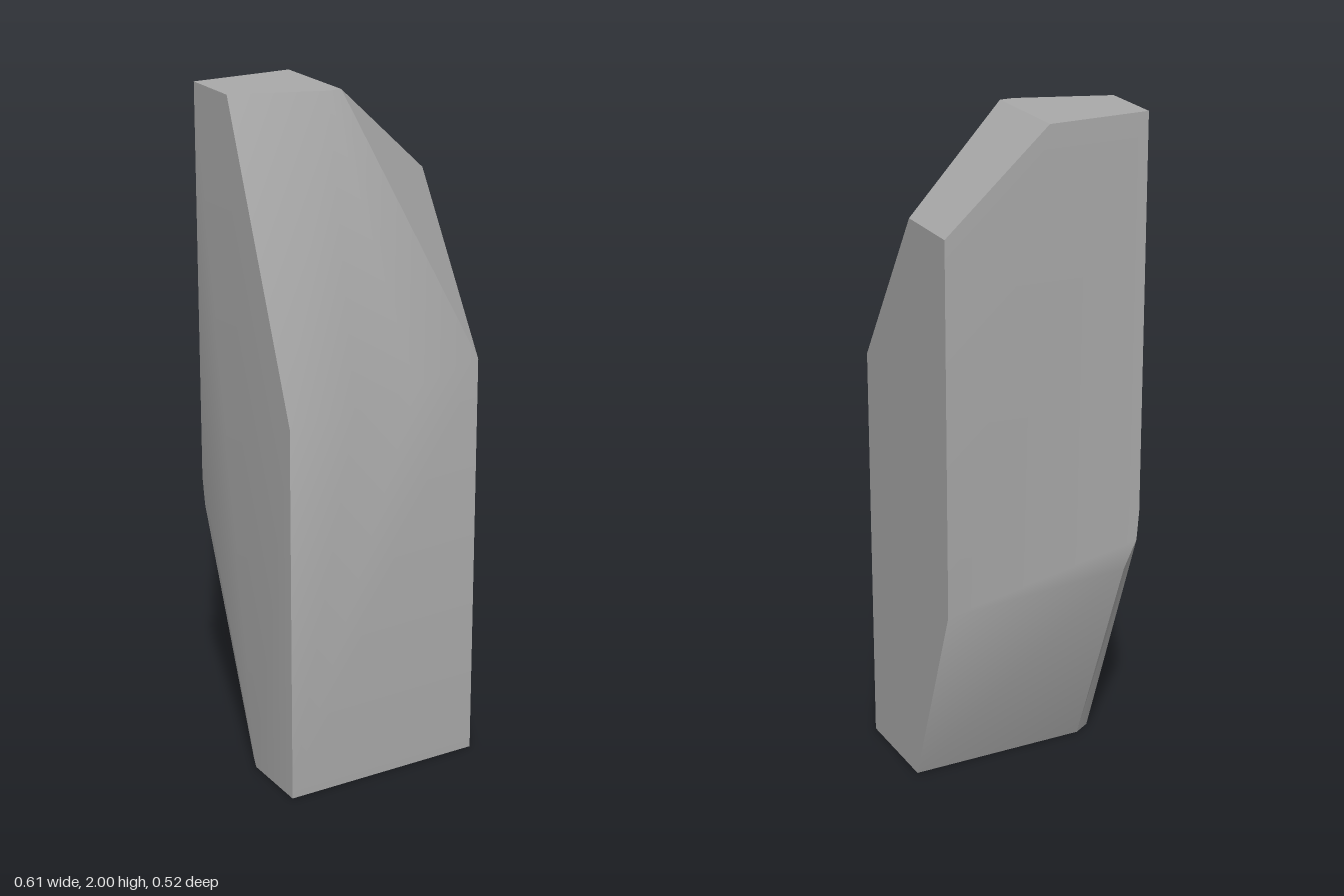
import * as THREE from 'three';
import { toCreasedNormals } from 'three/addons/utils/BufferGeometryUtils.js';

export function createModel() {
  const stone = new THREE.MeshStandardMaterial({ color: 0xaaaaaa });
  stone.name = 'stone grey';

  const W = 0.307, D = 0.262; // half width and half depth
  const p = {
    // base
    frontL: [-W, 0, D], frontR: [W, 0, D], baseR: [W, 0, -0.04],
    b0: [-W, 0, 0.045], b1: [-0.285, 0, -0.01], b2: [-0.235, 0, -0.04],
    // bend across the front
    c0: [-W, 1.14, D], c1: [-0.1, 1.15, D], c2: [0.1, 1.19, D], c3: [W, 1.235, D],
    // bend across the back, curving up at the worn corner
    backR: [W, 0.615, -D], a2: [-0.26, 0.646, -D], a1: [-0.3, 0.73, -D], a0: [-W, 0.82, -D],
    // top and the sloped shoulder
    t0: [-W, 2, -0.07], t1: [-0.045, 2, 0.028], t2: [-0.005, 2, 0.028],
    t3: [-0.005, 2, -D], t4: [-W, 2, -D],
    r1: [W, 1.725, -0.042], r2: [W, 1.725, -D],
  };

  const faces = [
    'frontL frontR c3 c2 c1 c0',              // front
    'c0 c1 t1 t0', 'c1 c2 t1', 'c2 c3 t2 t1', // leaning upper front
    'c3 r1 t2',                               // cut front corner
    't2 r1 r2 t3',                            // shoulder
    't0 t1 t2 t3 t4',                         // top
    'frontR baseR backR r2 r1 c3',            // side at +x
    'b0 frontL c0 t0 t4 a0',                  // side at -x
    'backR a2 a1 a0 t4 t3 r2',                // back
    'baseR b2 a2 backR',                      // undercut back
    'b2 b1 a1 a2', 'b1 b0 a0 a1',             // worn lower corner
    'frontL b0 b1 b2 baseR frontR',           // underside
  ];

  // Fan each face into triangles
  const positions = [];
  for (const face of faces) {
    const v = face.split(' ').map((n) => p[n]);
    for (let i = 1; i < v.length - 1; i++) positions.push(...v[0], ...v[i], ...v[i + 1]);
  }
  const geometry = new THREE.BufferGeometry();
  geometry.setAttribute('position', new THREE.Float32BufferAttribute(positions, 3));

  const pillar = new THREE.Mesh(toCreasedNormals(geometry, THREE.MathUtils.degToRad(33)), stone);
  pillar.name = 'stonePillar';

  const group = new THREE.Group();
  group.name = 'standingStone';
  group.add(pillar);
  return group;
}
